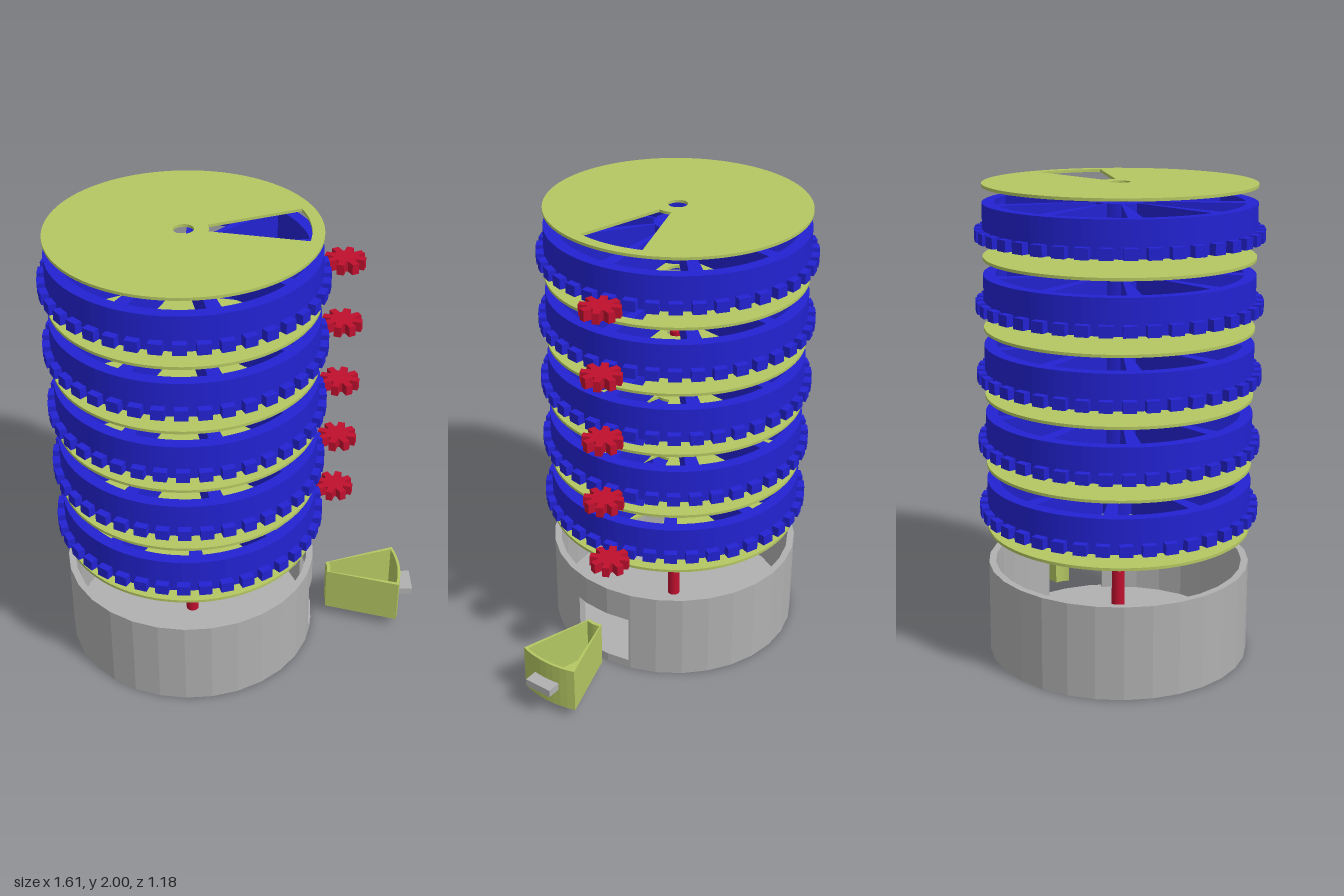
import * as THREE from 'three';

const AXIS_X = -0.22, RADIUS = 0.555, DEG = Math.PI / 180;

// Points along an arc; angles in degrees, measured from +x towards +z
function arc(r, a0, a1, n) {
  return Array.from({ length: n + 1 }, (_, i) => {
    const a = (a0 + (a1 - a0) * i / n) * DEG;
    return new THREE.Vector2(r * Math.cos(a), r * Math.sin(a));
  });
}
const circle = (r, n) => arc(r, 0, 360, n).slice(0, n);
const sector = (r0, r1, a0, a1, n = 8) => [...arc(r1, a0, a1, n), ...arc(r0, a1, a0, n)];

// Plan outline (x, z) with holes, standing between heights y0 and y1
function slab(outline, holes, y0, y1) {
  const shape = new THREE.Shape(outline);
  holes.forEach(h => shape.holes.push(new THREE.Path(h)));
  return new THREE.ExtrudeGeometry(shape, { depth: y1 - y0, bevelEnabled: false, curveSegments: 1 })
    .rotateX(Math.PI / 2).translate(0, y1, 0);
}

export function createModel() {
  const mat = (name, color) => {
    const m = new THREE.MeshStandardMaterial({ color });
    m.name = name;
    return m;
  };
  const grey = mat('grey', 0xb0b0b0), blue = mat('blue', 0x2222d2);
  const lime = mat('lime', 0xb4c762), red = mat('red', 0xc0102e);

  const model = new THREE.Group();
  model.name = 'stackedDispenser';
  const add = (parent, name, geo, material) => {
    const mesh = new THREE.Mesh(geo, material);
    mesh.name = name;
    parent.add(mesh);
    return mesh;
  };
  const group = (parent, name, x, y, z) => {
    const g = new THREE.Group();
    g.name = name;
    g.position.set(x, y, z);
    parent.add(g);
    return g;
  };

  // Faceted cup with a drawer opening in its side
  const base = group(model, 'base', AXIS_X, 0, 0);
  const inner = 0.525, sides = 30;
  add(base, 'baseFloor', slab(circle(RADIUS, sides), [], 0, 0.04), grey);
  const onFacet = (r, a) => { // point on the straight side of the polygon
    const step = 360 / sides, off = ((a % step) + step) % step - step / 2;
    const d = r * Math.cos(step / 2 * DEG) / Math.cos(off * DEG);
    return new THREE.Vector2(d * Math.cos(a * DEG), d * Math.sin(a * DEG));
  };
  const open0 = -11, open1 = 18;
  const run = r => [onFacet(r, open1), ...arc(r, 24, 348, 27), onFacet(r, 360 + open0)];
  add(base, 'baseWallWithOpening', slab([...run(RADIUS), ...run(inner).reverse()], [], 0.04, 0.265), grey);
  add(base, 'baseRim', slab(circle(RADIUS, sides), [circle(inner, sides)], 0.265, 0.4), grey);

  // Central shaft
  add(model, 'shaft', new THREE.CylinderGeometry(0.028, 0.028, 1.39, 24).translate(AXIS_X, 0.735, 0), red);

  // Divider plates, each with a wedge window and a shaft hole
  const plateGeo = slab(circle(RADIUS, 96),
    [sector(0.1, 0.505, -16.7, 16.7, 12), circle(0.042, 24)], -0.006, 0.006);
  [0.559, 0.837, 1.132, 1.412, 1.702, 1.994].forEach(y => {
    add(model, 'dividerPlate', plateGeo, lime).position.set(AXIS_X, y, 0);
  });

  // Compartment wheels: nine wedge openings, spokes between, teeth round the foot
  const compartments = Array.from({ length: 9 }, (_, i) =>
    sector(0.1, 0.505, i * 40 + 3.25, i * 40 + 36.75));
  const wheelGeo = slab(circle(RADIUS, 96), [...compartments, circle(0.042, 24)], 0, 0.147);
  const toothGeo = new THREE.BoxGeometry(0.05, 0.045, 0.054).translate(0.562, 0.0225, 0);
  const pinionTooth = new THREE.BoxGeometry(0.05, 0.045, 0.03).translate(0.058, 0.0225, 0);
  const pinionCore = new THREE.CylinderGeometry(0.05, 0.05, 0.045, 24).translate(0, 0.0225, 0);
  const ring = (parent, name, geo, material, count) => {
    for (let i = 0; i < count; i++) {
      add(parent, name, geo, material).rotation.y = (i + 0.5) / count * Math.PI * 2;
    }
  };
  for (let i = 0; i < 5; i++) {
    const y = 0.62 + i * 0.289;
    const wheel = group(model, 'compartmentWheel', AXIS_X, y, 0);
    wheel.rotation.y = i === 0 ? -10 * DEG : 0;
    add(wheel, 'wheelBody', wheelGeo, blue);
    ring(wheel, 'wheelTooth', toothGeo, blue, 40);

    // Small drive gear beside the wheel
    const pinion = group(model, 'driveGear', 0.437, y, i === 0 ? -0.09 : -0.066);
    add(pinion, 'driveGearCore', pinionCore, red);
    ring(pinion, 'driveGearTooth', pinionTooth, red, 8);
  }

  // Open-topped wedge drawer with a pull tab
  const drawer = group(model, 'drawer', 0.3, 0, 0.01);
  drawer.rotation.y = -3.1 * DEG;
  const outline = sector(0.107, 0.445, -18, 18);
  add(drawer, 'drawerFloor', slab(outline, [], 0.047, 0.06), lime);
  add(drawer, 'drawerWalls', slab(outline, [sector(0.122, 0.433, -16, 16)], 0.06, 0.255), lime);
  add(drawer, 'drawerPull', new THREE.BoxGeometry(0.064, 0.034, 0.128).translate(0.469, 0.152, 0), grey);

  return model;
}
